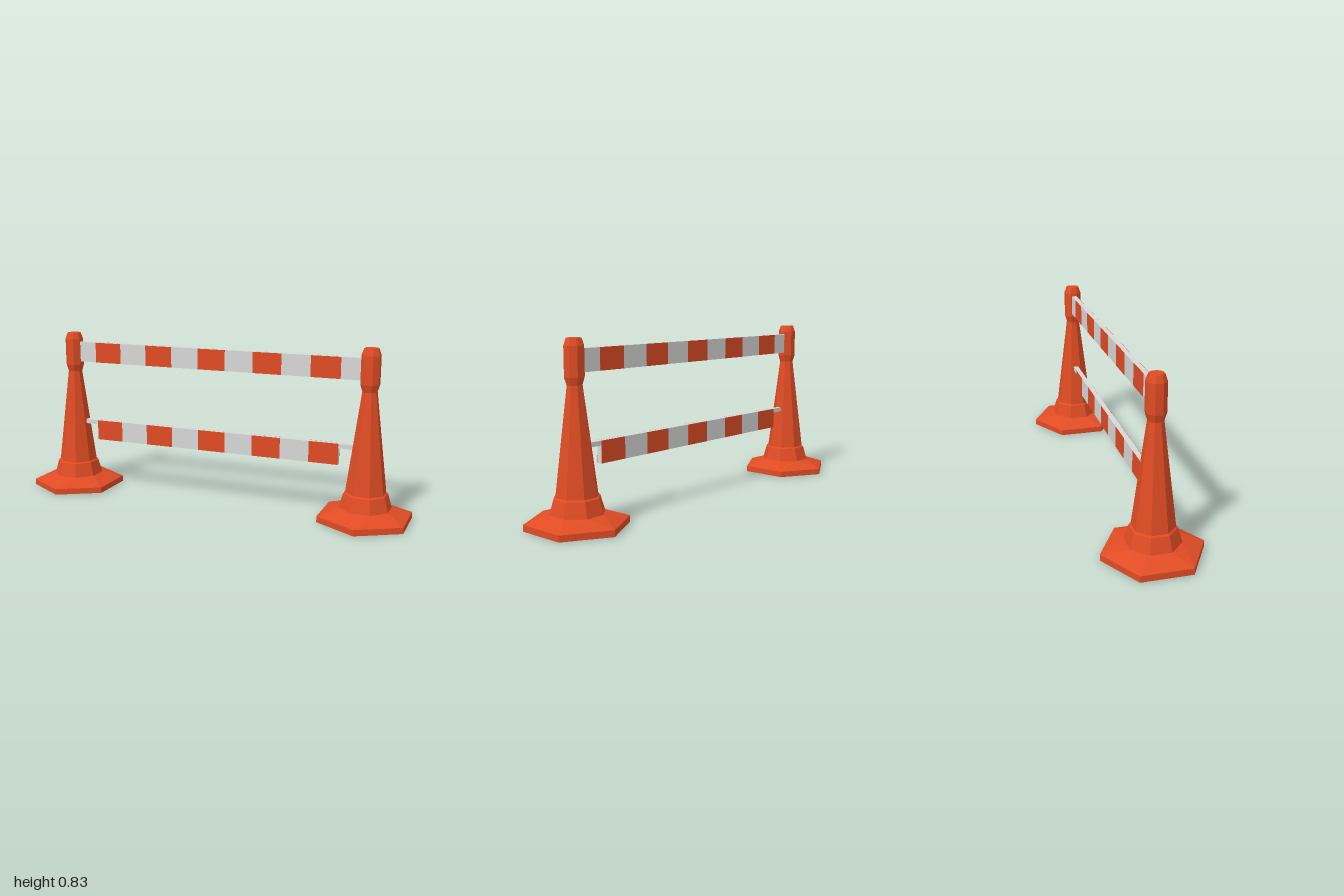
import * as THREE from 'three';

const orange = new THREE.MeshStandardMaterial({ color: 0xe04c24, side: THREE.DoubleSide });
orange.name = 'safety orange';
orange.flatShading = true;
const grey = new THREE.MeshStandardMaterial({ color: 0xd8d8d8 });
grey.name = 'pale grey';

const POST_X = 0.792;

// Horizontal polygon of n corners; first corner at angle start
function ring(n, radius, y, start) {
  return Array.from({ length: n }, (_, i) => {
    const a = start + (i / n) * Math.PI * 2;
    return { a, p: [Math.sin(a) * radius, y, Math.cos(a) * radius] };
  });
}

// Skin between two rings that may have different corner counts
function loft(lower, upper) {
  const pos = [];
  const at = (r, i) => r[i % r.length].p;
  const angle = (r, i) => r[i % r.length].a + Math.floor(i / r.length) * Math.PI * 2;
  let i = 0, j = 0;
  while (i < lower.length || j < upper.length) {
    const stepLower = j >= upper.length ||
      (i < lower.length && angle(lower, i + 1) <= angle(upper, j + 1));
    const next = stepLower ? at(lower, i + 1) : at(upper, j + 1);
    pos.push(...at(lower, i), ...next, ...at(upper, j));
    if (stepLower) i++; else j++;
  }
  const geo = new THREE.BufferGeometry();
  geo.setAttribute('position', new THREE.Float32BufferAttribute(pos, 3));
  geo.computeVertexNormals();
  return geo;
}

function add(parent, geo, mat, name, x = 0, y = 0, z = 0) {
  const mesh = new THREE.Mesh(geo, mat);
  mesh.name = name;
  mesh.position.set(x, y, z);
  parent.add(mesh);
}

// Hollow post: hexagonal foot, octagonal tapering body, closed head
function createPost(name, x) {
  const post = new THREE.Group();
  post.name = name;
  post.position.x = x;

  const footRadius = 0.237;
  const oct = (apothem, y) => ring(8, apothem / Math.cos(Math.PI / 8), y, Math.PI / 8);
  const footTop = ring(6, footRadius, 0.03, 0);
  add(post, loft(ring(6, footRadius, 0, 0), footTop), orange, 'footRim');
  add(post, loft(footTop, oct(0.118, 0.065)), orange, 'footSlope');

  // Apothem and height of each body section
  const sections = [
    ['collar', 0.118, 0.065], ['collarLip', 0.099, 0.135], ['cone', 0.091, 0.141],
    ['neck', 0.033, 0.627], ['head', 0.043, 0.662], ['headBevel', 0.043, 0.797],
    ['headTop', 0.032, 0.83], ['end', 0, 0.83],
  ];
  for (let i = 0; i < sections.length - 1; i++) {
    const [part, r0, y0] = sections[i];
    const [, r1, y1] = sections[i + 1];
    add(post, loft(oct(r0, y0), oct(r1, y1)), orange, part);
  }
  return post;
}

// Painted stripes on both faces of a board
function addStripes(board, y, height, depth) {
  const width = 1.31 / 9;
  const plate = 0.002;
  for (const side of [-1, 1]) {
    for (let i = -2; i <= 2; i++) {
      add(board, new THREE.BoxGeometry(width, height, plate), orange, 'stripe',
        i * 2 * width, y, side * depth / 2);
    }
  }
}

export function createModel() {
  const model = new THREE.Group();
  model.name = 'barrier';
  model.add(createPost('leftPost', POST_X), createPost('rightPost', -POST_X));

  const depth = 0.026;

  // Upper board reaches into both post heads
  const upper = new THREE.Group();
  upper.name = 'upperBoard';
  add(upper, new THREE.BoxGeometry(1.52, 0.104, depth), grey, 'upperPanel', 0, 0.731);
  addStripes(upper, 0.731, 0.104, depth);
  model.add(upper);

  // Lower board hangs from a thin rail between the cones
  const lower = new THREE.Group();
  lower.name = 'lowerBoard';
  add(lower, new THREE.BoxGeometry(1.31, 0.104, depth), grey, 'lowerPanel', 0, 0.315);
  for (const side of [-1, 1]) {
    add(lower, new THREE.BoxGeometry(0.095, 0.022, depth), grey, 'railEnd', side * 0.7025, 0.356);
  }
  addStripes(lower, 0.315, 0.104, depth);
  model.add(lower);

  return model;
}
